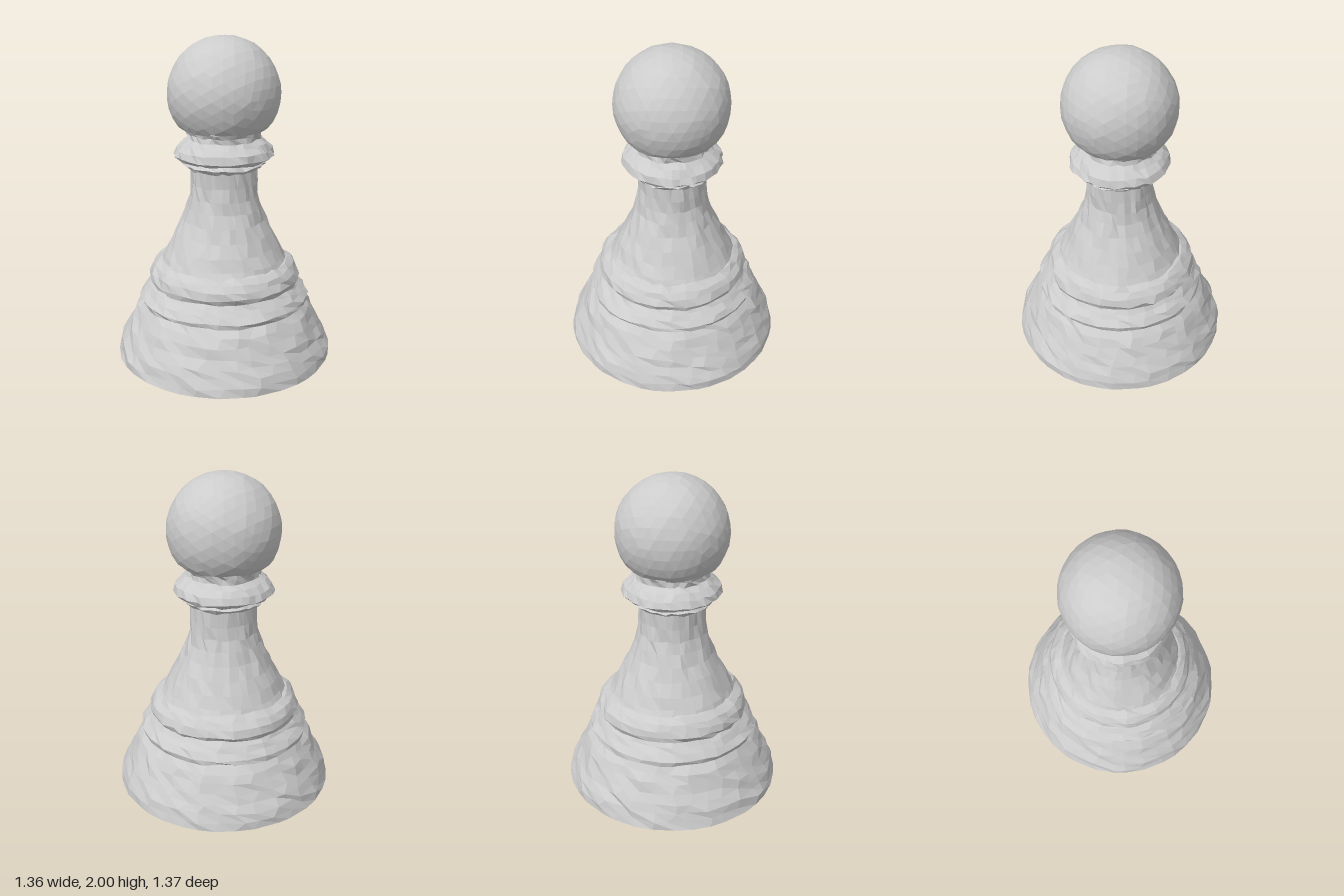
import * as THREE from 'three';

const SIDES = 36;
const material = new THREE.MeshStandardMaterial({ color: 0xcccccc, flatShading: true });

// Repeatable value in -1..1 from two numbers
function noise(a, b) {
  const s = Math.sin(a * 127.1 + b * 311.7) * 43758.5453;
  return (s - Math.floor(s)) * 2 - 1;
}

// Turned part with a hand-chipped surface; profile runs bottom to top as [radius, y]
function turned(name, profile, rough, seed) {
  const points = profile.map(([r, y]) => new THREE.Vector2(r, y));
  const geometry = new THREE.LatheGeometry(points, SIDES);
  const pos = geometry.attributes.position;
  const n = profile.length;
  for (let k = 0; k < pos.count; k++) {
    const i = Math.floor(k / n) % SIDES, j = k % n;
    const [r, y] = profile[j];
    if (r === 0) continue;
    const a = ((i + 0.3 * noise(i + seed, j + 5)) / SIDES) * Math.PI * 2;
    const edge = y === 0 ? 0.25 : 1;
    const radius = r + rough * edge * noise(i + seed, j + 17);
    const height = y === 0 ? 0 : y + 0.7 * rough * noise(i + seed, j + 41);
    pos.setXYZ(k, Math.sin(a) * radius, height, Math.cos(a) * radius);
  }
  geometry.computeVertexNormals();
  const mesh = new THREE.Mesh(geometry, material);
  mesh.name = name;
  return mesh;
}

// Faceted ball, flattened where it rests on the neck
function ball() {
  const geometry = new THREE.IcosahedronGeometry(0.342, 5);
  const pos = geometry.attributes.position;
  const v = new THREE.Vector3();
  for (let k = 0; k < pos.count; k++) {
    v.fromBufferAttribute(pos, k);
    const key = Math.round(v.x * 1000) + Math.round(v.y * 1000) * 0.37;
    v.multiplyScalar(1 + 0.008 * noise(key, Math.round(v.z * 1000)));
    pos.setXYZ(k, v.x, Math.max(v.y, -0.21), v.z);
  }
  geometry.computeVertexNormals();
  const mesh = new THREE.Mesh(geometry, material);
  mesh.name = 'head';
  mesh.position.y = 1.66;
  return mesh;
}

export function createModel() {
  const group = new THREE.Group();
  group.name = 'pawn';
  group.add(
    // Wide foot with a closed flat underside
    turned('base', [
      [0, 0], [0.683, 0], [0.675, 0.05], [0.655, 0.1], [0.63, 0.15], [0.605, 0.2],
      [0.578, 0.26], [0.55, 0.31], [0.51, 0.355], [0.48, 0.37],
    ], 0.011, 1),
    // Lower step
    turned('lowerRing', [
      [0.46, 0.36], [0.525, 0.36], [0.532, 0.39], [0.505, 0.425], [0.475, 0.455], [0.445, 0.49], [0.4, 0.5],
    ], 0.009, 60),
    // Upper step
    turned('upperRing', [
      [0.4, 0.482], [0.462, 0.484], [0.478, 0.515], [0.462, 0.56], [0.435, 0.595], [0.4, 0.62], [0.34, 0.635],
    ], 0.01, 120),
    // Flared stem
    turned('stem', [
      [0.41, 0.59], [0.375, 0.65], [0.34, 0.72], [0.3, 0.8], [0.262, 0.88], [0.232, 0.96],
      [0.213, 1.03], [0.205, 1.11], [0.2, 1.23],
    ], 0.008, 180),
    // Thin ring, flared collar and short neck
    turned('collar', [
      [0.17, 1.21], [0.225, 1.21], [0.25, 1.235], [0.228, 1.255], [0.275, 1.265], [0.305, 1.29],
      [0.292, 1.33], [0.255, 1.365], [0.222, 1.39], [0.222, 1.42], [0.235, 1.45], [0.2, 1.47],
    ], 0.009, 240),
    ball(),
  );
  return group;
}
